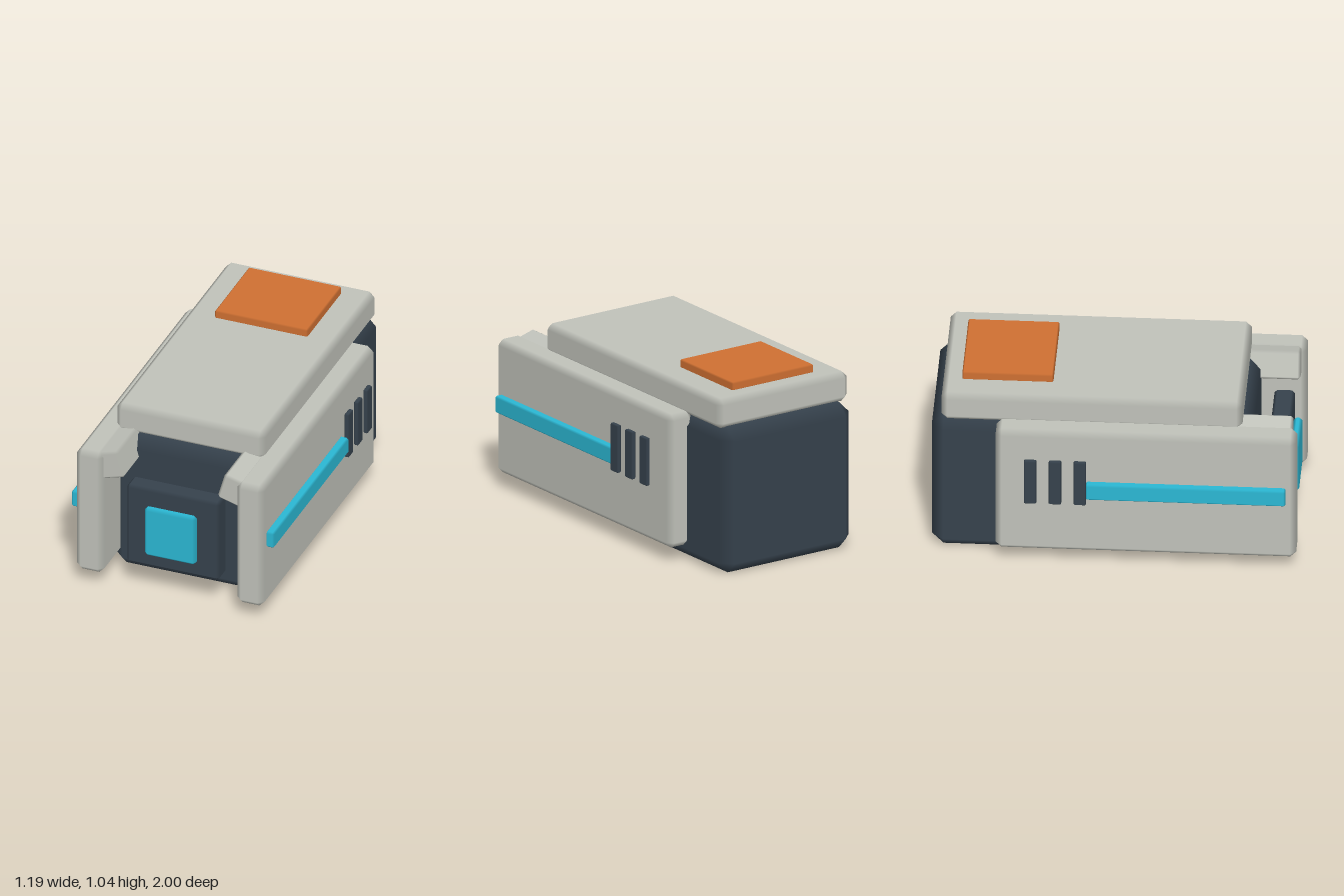
import * as THREE from 'three';

const mat = (name, color) => new THREE.MeshStandardMaterial({ name, color });

// Box with one chamfer of size c on every edge; normals blend across the chamfers.
function chamferBox(w, h, d, c) {
  const half = [w / 2, h / 2, d / 2];
  const pos = [], nor = [], idx = [];
  // Corner (signs s) as it lies on the face of axis a
  const vert = (s, a) => {
    for (let k = 0; k < 3; k++) {
      pos.push(s[k] * (k === a ? half[k] : half[k] - c));
      nor.push(k === a ? s[k] : 0);
    }
    return pos.length / 3 - 1;
  };
  const id = {};
  const key = (s, a) => s.join() + a;
  for (const x of [-1, 1]) for (const y of [-1, 1]) for (const z of [-1, 1])
    for (let a = 0; a < 3; a++) id[key([x, y, z], a)] = vert([x, y, z], a);
  // Add a triangle facing away from the centre
  const P = (i) => new THREE.Vector3().fromArray(pos, i * 3);
  const tri = (i, j, k) => {
    const n = P(j).sub(P(i)).cross(P(k).sub(P(i)));
    if (n.dot(P(i).add(P(j)).add(P(k))) > 0) idx.push(i, j, k);
    else idx.push(i, k, j);
  };
  const quad = (i, j, k, l) => { tri(i, j, k); tri(i, k, l); };
  for (let a = 0; a < 3; a++) {
    const b = (a + 1) % 3, e = (a + 2) % 3;
    const at = (sa, sb, se, face) => {
      const s = [0, 0, 0];
      s[a] = sa; s[b] = sb; s[e] = se;
      return id[key(s, face)];
    };
    // Flat faces
    for (const s of [-1, 1]) quad(at(s, -1, -1, a), at(s, 1, -1, a), at(s, 1, 1, a), at(s, -1, 1, a));
    // Edge chamfers running along axis a
    for (const sb of [-1, 1]) for (const se of [-1, 1])
      quad(at(-1, sb, se, b), at(1, sb, se, b), at(1, sb, se, e), at(-1, sb, se, e));
  }
  // Corner triangles
  for (let v = 0; v < 24; v += 3) tri(v, v + 1, v + 2);
  const g = new THREE.BufferGeometry();
  g.setAttribute('position', new THREE.Float32BufferAttribute(pos, 3));
  g.setAttribute('normal', new THREE.Float32BufferAttribute(nor, 3));
  g.setIndex(idx);
  return g;
}

export function createModel() {
  const group = new THREE.Group();
  group.name = 'boxyModule';
  const shell = mat('lightGrey', 0xc0c2ba);
  const dark = mat('darkSlate', 0x36424d);
  const cyan = mat('cyan', 0x2bb8d4);
  const orange = mat('orange', 0xcf7032);

  // Chamfered block given by its extents on each axis
  const block = (name, material, [x0, x1], [y0, y1], [z0, z1], c) => {
    const m = new THREE.Mesh(chamferBox(x1 - x0, y1 - y0, z1 - z0, c), material);
    m.name = name;
    m.position.set((x0 + x1) / 2, (y0 + y1) / 2, (z0 + z1) / 2);
    group.add(m);
    return m;
  };

  // Core and roof
  block('body', dark, [-0.437, 0.437], [0, 0.835], [-1, 0.755], 0.065);
  block('roofSlab', shell, [-0.437, 0.437], [0.83, 1], [-0.945, 0.7], 0.032);
  block('roofPad', orange, [-0.273, 0.273], [0.995, 1.045], [-0.84, -0.342], 0.008);

  // Front panel and lit square
  block('frontPanel', dark, [-0.272, 0.272], [0.167, 0.66], [0.833, 0.944], 0.016);
  block('frontLight', cyan, [-0.15, 0.15], [0.262, 0.564], [0.946, 0.992], 0.016);

  // Mirrored side parts
  for (const s of [1, -1]) {
    const side = s > 0 ? 'left' : 'right';
    const span = (a, b) => (s > 0 ? [a, b] : [-b, -a]);
    block(side + 'SidePlate', shell, span(0.39, 0.552), [0.083, 0.85], [-0.642, 1], 0.032);
    block(side + 'Stripe', cyan, span(0.545, 0.596), [0.448, 0.545], [-0.148, 0.945], 0.01);
    for (let i = 0; i < 3; i++) {
      const z = -0.178 - i * 0.136;
      block(`${side}Vent${i + 1}`, dark, span(0.569, 0.597), [0.414, 0.688], [z - 0.034, z + 0.034], 0.006);
    }
    // Tilted clamp between side plate and roof
    const clamp = block(side + 'Clamp', shell, span(0.29, 0.45), [0.692, 0.854], [0.56, 0.972], 0.014);
    clamp.rotation.z = -s * 0.28;
  }
  return group;
}
